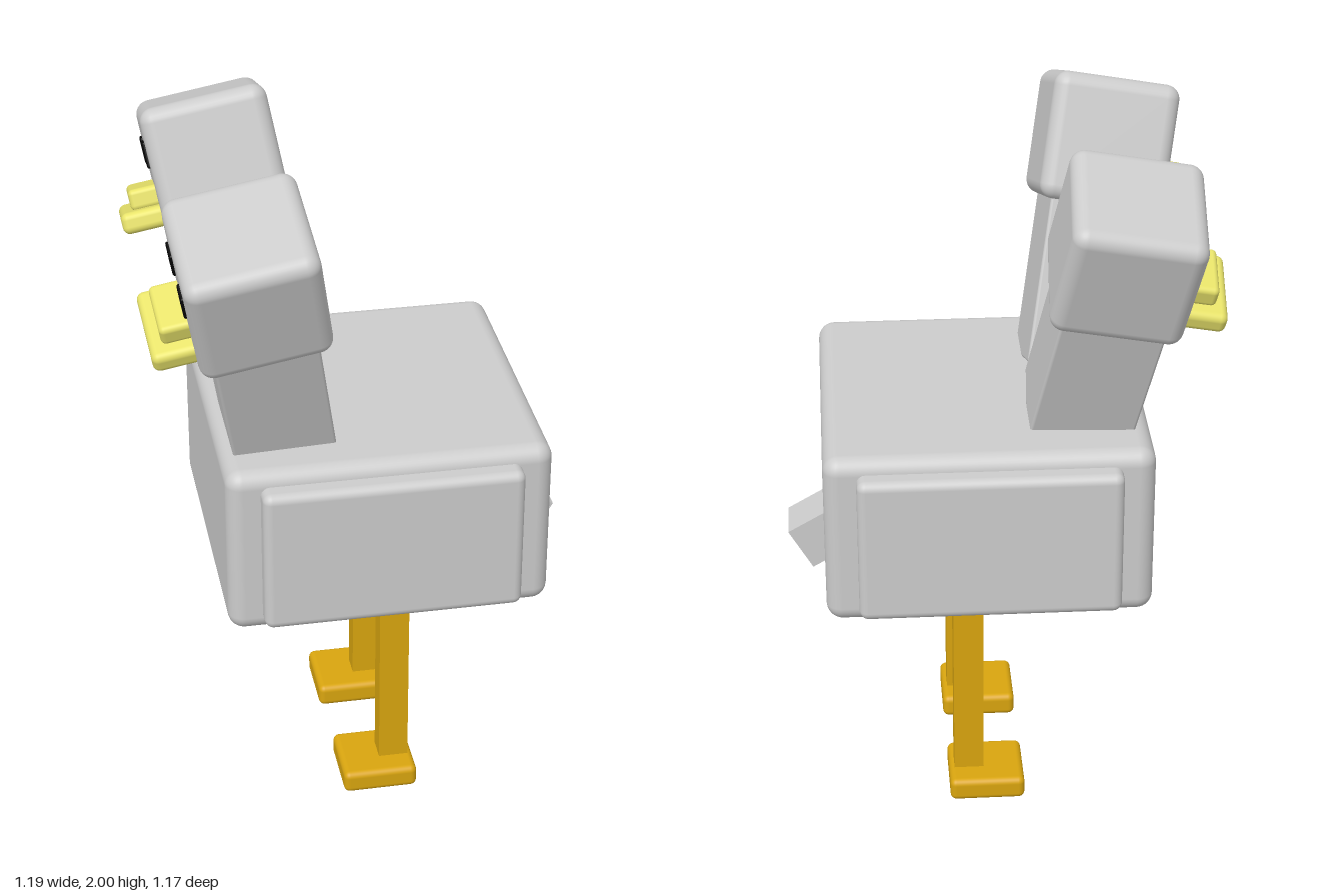
import * as THREE from 'three';
import { RoundedBoxGeometry } from 'three/addons/geometries/RoundedBoxGeometry.js';

const grey = new THREE.MeshStandardMaterial({ color: 0xcccccc });
const orange = new THREE.MeshStandardMaterial({ color: 0xd9a50f });
const yellow = new THREE.MeshStandardMaterial({ color: 0xe8e36a });
const black = new THREE.MeshStandardMaterial({ color: 0x050505 });

// Box with optional rounded edges, placed by its centre
function block(name, size, pos, material, radius = 0) {
  const geometry = radius > 0
    ? new RoundedBoxGeometry(...size, 4, radius)
    : new THREE.BoxGeometry(...size);
  const mesh = new THREE.Mesh(geometry, material);
  mesh.name = name;
  mesh.position.set(...pos);
  return mesh;
}

// Neck and head, with the origin at the head centre and the face towards -x
function createHead(side) {
  const head = new THREE.Group();
  head.name = side > 0 ? 'leftSideHead' : 'rightSideHead';
  head.add(
    block('skull', [0.355, 0.355, 0.355], [0, 0, 0], grey, 0.04),
    block('neck', [0.28, 0.54, 0.28], [0, -0.37, 0], grey, 0.008),
    block('lowerBeak', [0.16, 0.06, 0.245], [-0.21, -0.12, 0], yellow, 0.02),
    block('upperBeak', [0.12, 0.06, 0.165], [-0.195, -0.065, 0], yellow, 0.015),
  );
  for (const s of [-1, 1]) {
    head.add(block('eye', [0.02, 0.075, 0.06], [-0.175, 0.05, s * 0.075], black, 0.006));
  }
  // Lean forwards and away from the other head
  head.rotation.set(side * THREE.MathUtils.degToRad(20), 0, THREE.MathUtils.degToRad(10), 'ZYX');
  head.position.set(side > 0 ? -0.322 : -0.312, 1.763, side * 0.37 - 0.003);
  return head;
}

export function createModel() {
  const model = new THREE.Group();
  model.name = 'twoHeadedBird';
  const midZ = -0.013;

  model.add(block('body', [0.895, 0.5, 0.89], [0.047, 0.95, midZ], grey, 0.045));

  // Tail stub, pointing down and back
  const tail = block('tail', [0.2, 0.135, 0.14], [0.478, 0.768, -0.014], grey);
  tail.rotation.z = -Math.PI / 6;
  model.add(tail);

  for (const s of [-1, 1]) {
    model.add(
      block('wing', [0.715, 0.425, 0.1], [0.048, 0.948, midZ + s * 0.45], grey, 0.025),
      block('leg', [0.085, 0.68, 0.068], [0.098, 0.38, midZ + s * 0.214], orange),
      block('foot', [0.215, 0.068, 0.21], [0.048, 0.034, midZ + s * 0.216], orange, 0.018),
      createHead(s),
    );
  }
  return model;
}
